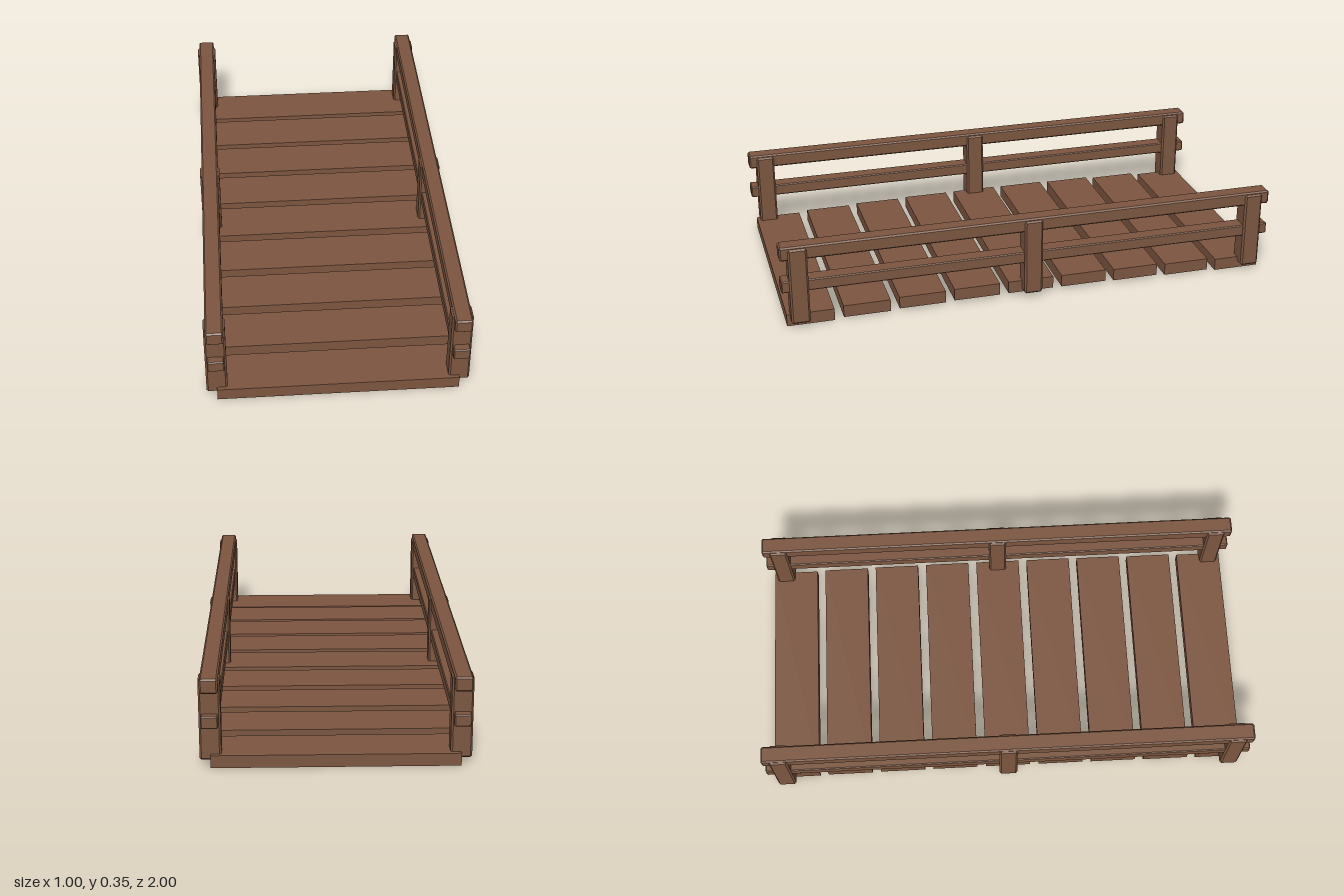
import * as THREE from 'three';
import { ConvexGeometry } from 'three/addons/geometries/ConvexGeometry.js';

const wood = new THREE.MeshStandardMaterial({ color: 0x7c5640 });
wood.name = 'brown wood';

// Box with every edge cut by a flat chamfer
function chamferBox(w, h, d, c) {
  const pts = [];
  const [x, y, z] = [w / 2, h / 2, d / 2];
  for (const i of [-1, 1]) for (const j of [-1, 1]) for (const k of [-1, 1]) {
    pts.push(
      new THREE.Vector3(i * x, j * (y - c), k * (z - c)),
      new THREE.Vector3(i * (x - c), j * y, k * (z - c)),
      new THREE.Vector3(i * (x - c), j * (y - c), k * z)
    );
  }
  return new ConvexGeometry(pts);
}

function add(parent, name, geometry, x, y, z) {
  const mesh = new THREE.Mesh(geometry, wood);
  mesh.name = name;
  mesh.position.set(x, y, z);
  parent.add(mesh);
}

export function createModel() {
  const model = new THREE.Group();
  model.name = 'footbridge';

  // Deck of nine planks rising gently to the middle
  const deck = new THREE.Group();
  deck.name = 'deck';
  model.add(deck);
  const plank = new THREE.BoxGeometry(0.92, 0.049, 0.187);
  for (let i = -4; i <= 4; i++) {
    const rise = 0.018 * (1 - (i / 4) ** 2);
    add(deck, 'plank', plank, 0, 0.0245 + rise, i * 0.2225);
  }

  // A railing on each side: three posts and two rails
  const post = chamferBox(0.08, 0.317, 0.074, 0.007);
  const topRail = chamferBox(0.067, 0.056, 2, 0.006);
  const lowerRail = chamferBox(0.064, 0.047, 2, 0.004);
  for (const side of [-1, 1]) {
    const railing = new THREE.Group();
    railing.name = side > 0 ? 'leftRailing' : 'rightRailing';
    model.add(railing);
    for (const z of [-0.932, 0, 0.932]) add(railing, 'post', post, side * 0.46, 0.1835, z);
    add(railing, 'topRail', topRail, side * 0.46, 0.323, 0);
    add(railing, 'lowerRail', lowerRail, side * 0.46, 0.1835, 0);
  }
  return model;
}
